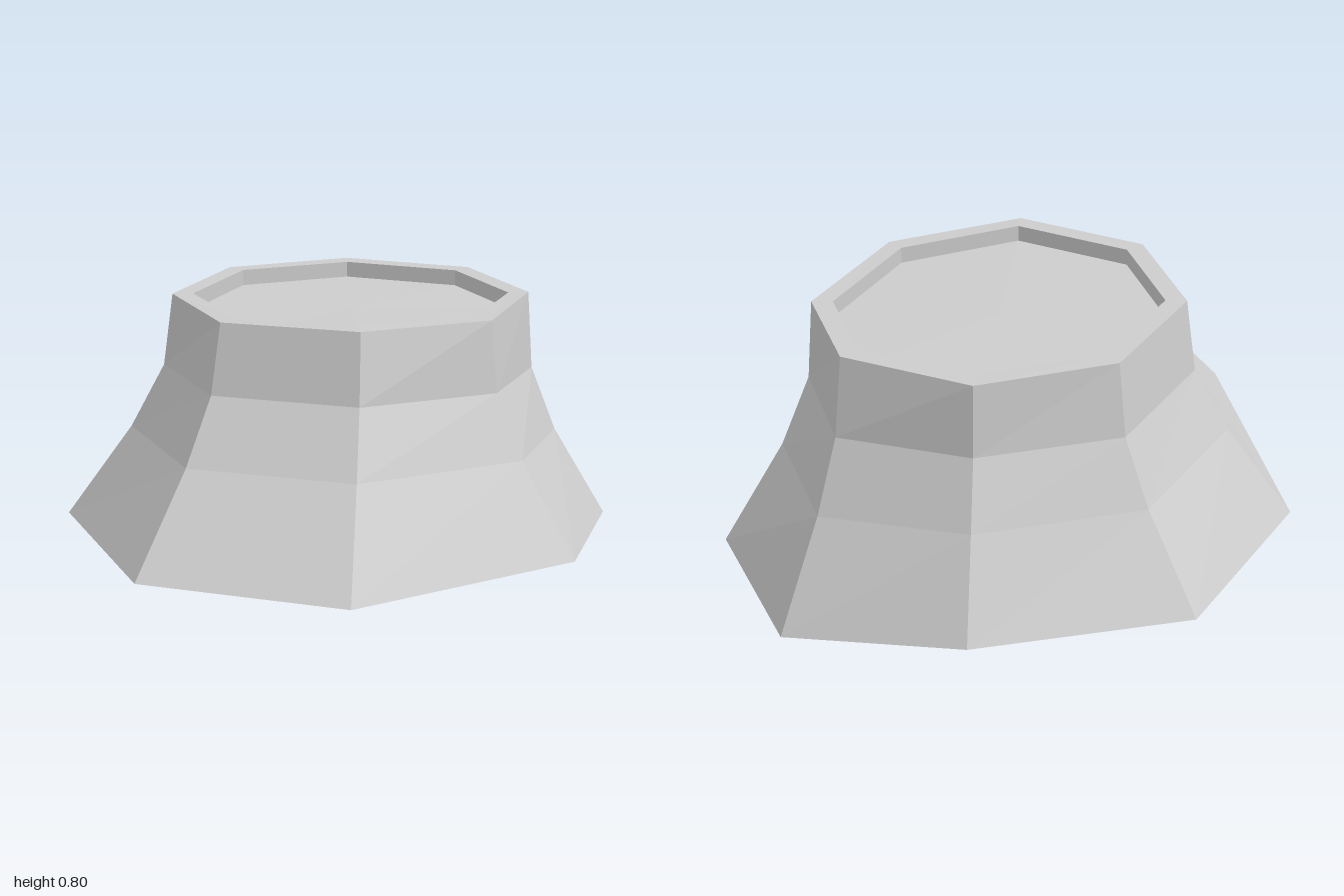
import * as THREE from 'three';

// Eight corner columns, clockwise from the back: top corner, foot corner,
// and how far outward the two middle rings have flared.
const columns = [
  { top: [0.02, 0.77, -0.72], foot: [0, 0.1, -1], flare: [0.06, 0.41] },
  { top: [0.42, 0.767, -0.575], foot: [0.555, 0.02, -0.88], flare: [0.11, 0.41] },
  { top: [0.585, 0.765, -0.2], foot: [0.86, 0, -0.32], flare: [0.06, 0.36] },
  { top: [0.435, 0.78, 0.26], foot: [0.675, 0.1, 0.46], flare: [0.07, 0.38] },
  { top: [0.045, 0.797, 0.475], foot: [0.01, 0.155, 1], flare: [0.12, 0.41] },
  { top: [-0.36, 0.79, 0.32], foot: [-0.59, 0.147, 0.765], flare: [0.12, 0.42] },
  { top: [-0.525, 0.785, -0.095], foot: [-0.865, 0.085, -0.07], flare: [0.09, 0.4] },
  { top: [-0.365, 0.777, -0.535], foot: [-0.615, 0.085, -0.735], flare: [0.09, 0.39] },
];
const drops = [0.32, 0.6]; // height fractions of the middle rings
const centre = new THREE.Vector3(0.03, 0.78, -0.13);
const recess = 0.05;

// Skin consecutive rings with flat quads
function loft(rings) {
  const pos = [];
  const put = (...pts) => pts.forEach((p) => pos.push(p.x, p.y, p.z));
  for (let r = 0; r < rings.length - 1; r++) {
    const a = rings[r], b = rings[r + 1], n = a.length;
    for (let i = 0; i < n; i++) {
      const j = (i + 1) % n;
      put(a[i], b[j], b[i]);
      if (!a[i].equals(a[j])) put(a[i], a[j], b[j]);
    }
  }
  const geo = new THREE.BufferGeometry();
  geo.setAttribute('position', new THREE.Float32BufferAttribute(pos, 3));
  geo.computeVertexNormals();
  return geo;
}

export function createModel() {
  const group = new THREE.Group();
  group.name = 'treeStump';
  const grey = new THREE.MeshStandardMaterial({
    name: 'light grey', color: 0xcccccc, flatShading: true, side: THREE.DoubleSide,
  });
  const add = (name, rings) => {
    const mesh = new THREE.Mesh(loft(rings), grey);
    mesh.name = name;
    group.add(mesh);
  };

  const top = columns.map((c) => new THREE.Vector3(...c.top));
  const foot = columns.map((c) => new THREE.Vector3(...c.foot));
  const middle = drops.map((d, k) => columns.map((c, i) => {
    const p = top[i].clone().lerp(foot[i], c.flare[k]);
    p.y = THREE.MathUtils.lerp(top[i].y, foot[i].y, d);
    return p;
  }));
  const inner = top.map((p) => {
    const q = p.clone().sub(centre).multiplyScalar(0.885).add(centre);
    q.y = p.y;
    return q;
  });
  const floor = inner.map((p) => p.clone().setY(p.y - recess));
  const hub = floor.map(() => centre.clone().setY(centre.y - recess));

  // Flared, open-bottomed bark shell
  add('bark', [top, ...middle, foot]);
  // Raised rim around the cut, with its inner step
  add('barkRim', [floor, inner, top]);
  // Sunken cut surface
  add('cutFace', [hub, floor]);
  return group;
}
